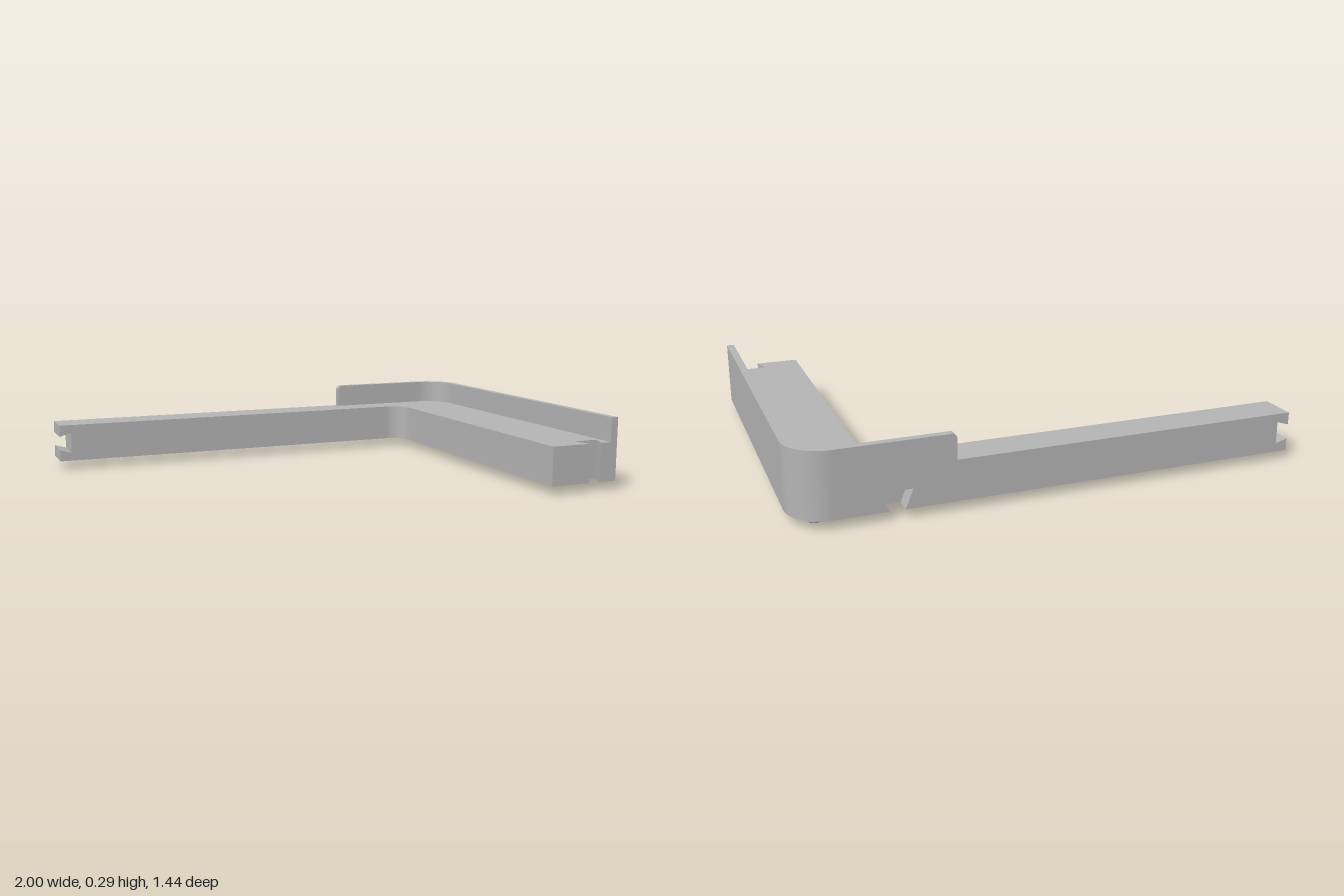
import * as THREE from 'three';

const BASE = 0.035, DECK = 0.195, TOP = 0.295;
const BACK = 0.72, FRONT = -0.72; // plan coordinates: plan y = -z

export function createModel() {
  const model = new THREE.Group();
  const grey = new THREE.MeshStandardMaterial({ color: 0xb4b4b4 });
  grey.name = 'plain grey';

  const add = (name, geometry) => {
    const mesh = new THREE.Mesh(geometry, grey);
    mesh.name = name;
    model.add(mesh);
    return mesh;
  };
  const extrude = (shape, depth) =>
    new THREE.ExtrudeGeometry(shape, { depth, bevelEnabled: false, curveSegments: 20 });
  // Plan outline raised from y0 to y1
  const addPlan = (name, shape, y0, y1) =>
    add(name, extrude(shape, y1 - y0).rotateX(-Math.PI / 2).translate(0, y0, 0));
  // Side outline (x, y) swept from z0 to z1
  const addSide = (name, shape, z0, z1) =>
    add(name, extrude(shape, z1 - z0).translate(0, 0, z0));
  const polygon = (points) => new THREE.Shape(points.map(([x, y]) => new THREE.Vector2(x, y)));

  // L-shaped body with a dovetail slot in the front end
  const pocketDepth = 0.065;
  const body = new THREE.Shape();
  body.moveTo(-0.9, 0.57);
  body.lineTo(0.61, 0.57);
  body.absarc(0.61, 0.485, 0.085, Math.PI / 2, 0, true);
  body.lineTo(0.695, FRONT);
  body.lineTo(0.87, FRONT);
  body.lineTo(0.845, -0.65);
  body.lineTo(0.95, -0.65);
  body.lineTo(0.925, FRONT);
  body.lineTo(1, FRONT);
  body.lineTo(1, 0.57);
  body.absarc(0.85, 0.57, 0.15, 0, Math.PI / 2, false);
  body.lineTo(0.75, BACK);
  body.lineTo(0.75, BACK - pocketDepth);
  body.lineTo(0.5, BACK - pocketDepth);
  body.lineTo(0.5, BACK);
  body.lineTo(-0.9, BACK);
  body.closePath();
  addPlan('body', body, BASE, DECK);

  // End of the long arm with a sideways dovetail slot
  addSide('longArmEnd', polygon([
    [-1, BASE], [-0.9, BASE], [-0.9, DECK], [-1, DECK],
    [-1, 0.145], [-0.95, 0.16], [-0.95, 0.07], [-1, 0.085],
  ]), -0.72, -0.57);

  // Back section with a blind dovetail pocket open below
  addSide('backPocket', polygon([
    [0.5, BASE], [0.595, BASE], [0.565, 0.11], [0.685, 0.11], [0.655, BASE],
    [0.75, BASE], [0.75, DECK], [0.5, DECK],
  ]), -BACK, -BACK + pocketDepth);

  // Raised rim: side and corner
  const rim = new THREE.Shape();
  rim.moveTo(0.97, FRONT);
  rim.lineTo(1, FRONT);
  rim.lineTo(1, 0.57);
  rim.absarc(0.85, 0.57, 0.15, 0, Math.PI / 2, false);
  rim.lineTo(0.85, 0.69);
  rim.absarc(0.85, 0.57, 0.12, Math.PI / 2, 0, true);
  rim.closePath();
  addPlan('sideRim', rim, DECK, TOP);

  // Raised rim along the back, with a rounded end
  const backRim = new THREE.Shape();
  backRim.moveTo(0.4, DECK);
  backRim.lineTo(0.85, DECK);
  backRim.lineTo(0.85, TOP);
  backRim.lineTo(0.42, TOP);
  backRim.absarc(0.42, TOP - 0.02, 0.02, Math.PI / 2, Math.PI, false);
  backRim.closePath();
  addSide('backRim', backRim, -BACK, -BACK + 0.03);

  // Locating peg under the corner, chamfered at the tip
  const pegProfile = [[0, 0], [0.024, 0], [0.03, 0.006], [0.03, 0.006], [0.03, BASE]];
  const peg = new THREE.LatheGeometry(pegProfile.map(([r, y]) => new THREE.Vector2(r, y)), 32);
  add('peg', peg).position.set(0.9, 0, -0.62);

  return model;
}
